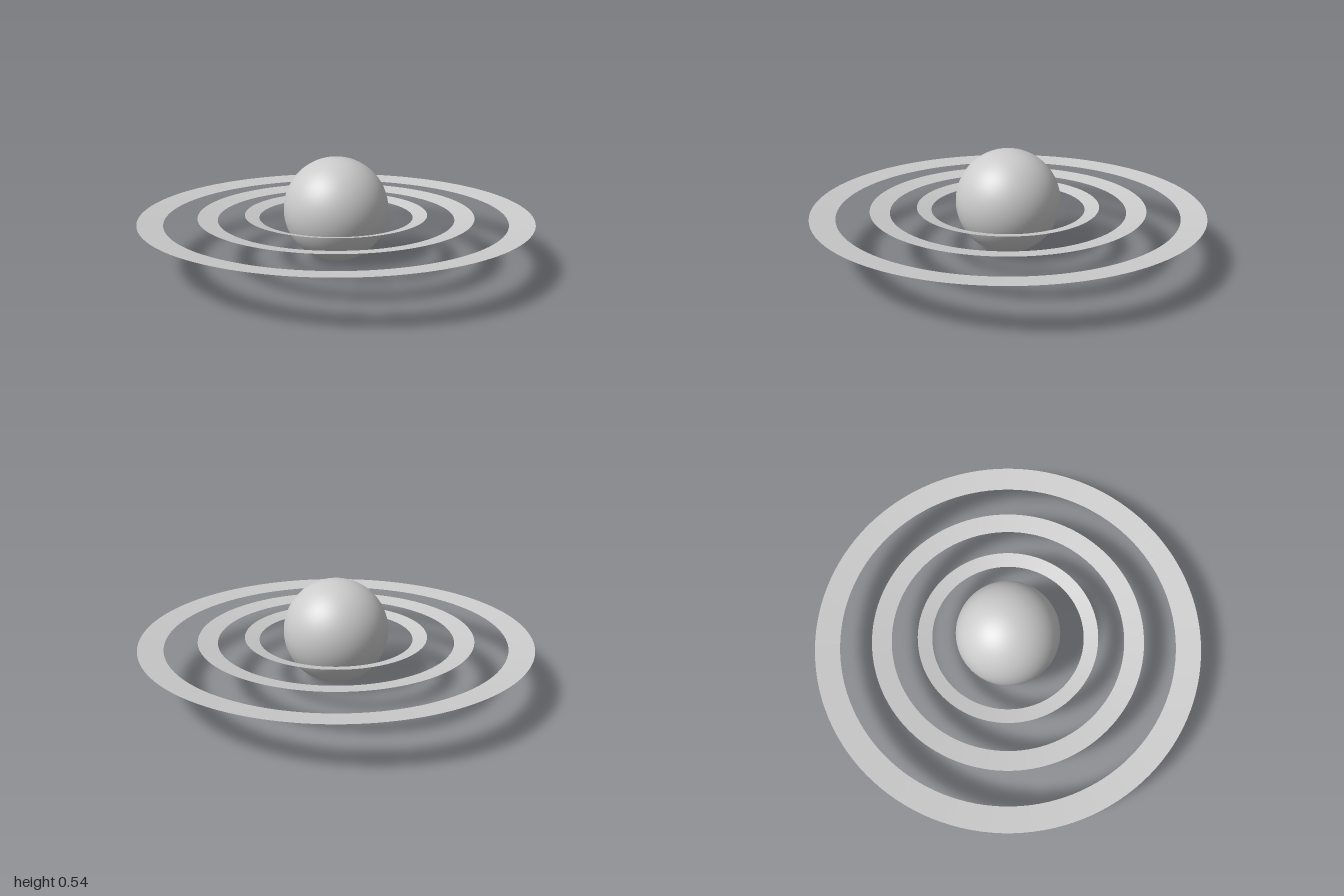
import * as THREE from 'three';

export function createModel() {
  const model = new THREE.Group();
  const solid = new THREE.MeshStandardMaterial({ color: 0xcccccc });
  const sheet = new THREE.MeshStandardMaterial({ color: 0xcccccc, side: THREE.DoubleSide });

  // Planet body
  const planet = new THREE.Mesh(new THREE.SphereGeometry(0.27, 64, 48), solid);
  planet.name = 'planet';
  planet.position.y = 0.27;
  model.add(planet);

  // Thin, slightly dished rings: the inner edge sits lower than the outer edge
  const addRing = (name, inner, outer) => {
    const profile = [new THREE.Vector2(inner, 0.233), new THREE.Vector2(outer, 0.25)];
    // Listed from the inside out, so the lathe's normals are turned to face up
    const geometry = new THREE.LatheGeometry(profile.reverse(), 128);
    const ring = new THREE.Mesh(geometry, sheet);
    ring.name = name;
    model.add(ring);
  };
  addRing('innerRing', 0.395, 0.469);
  addRing('middleRing', 0.606, 0.706);
  addRing('outerRing', 0.874, 1);

  return model;
}
